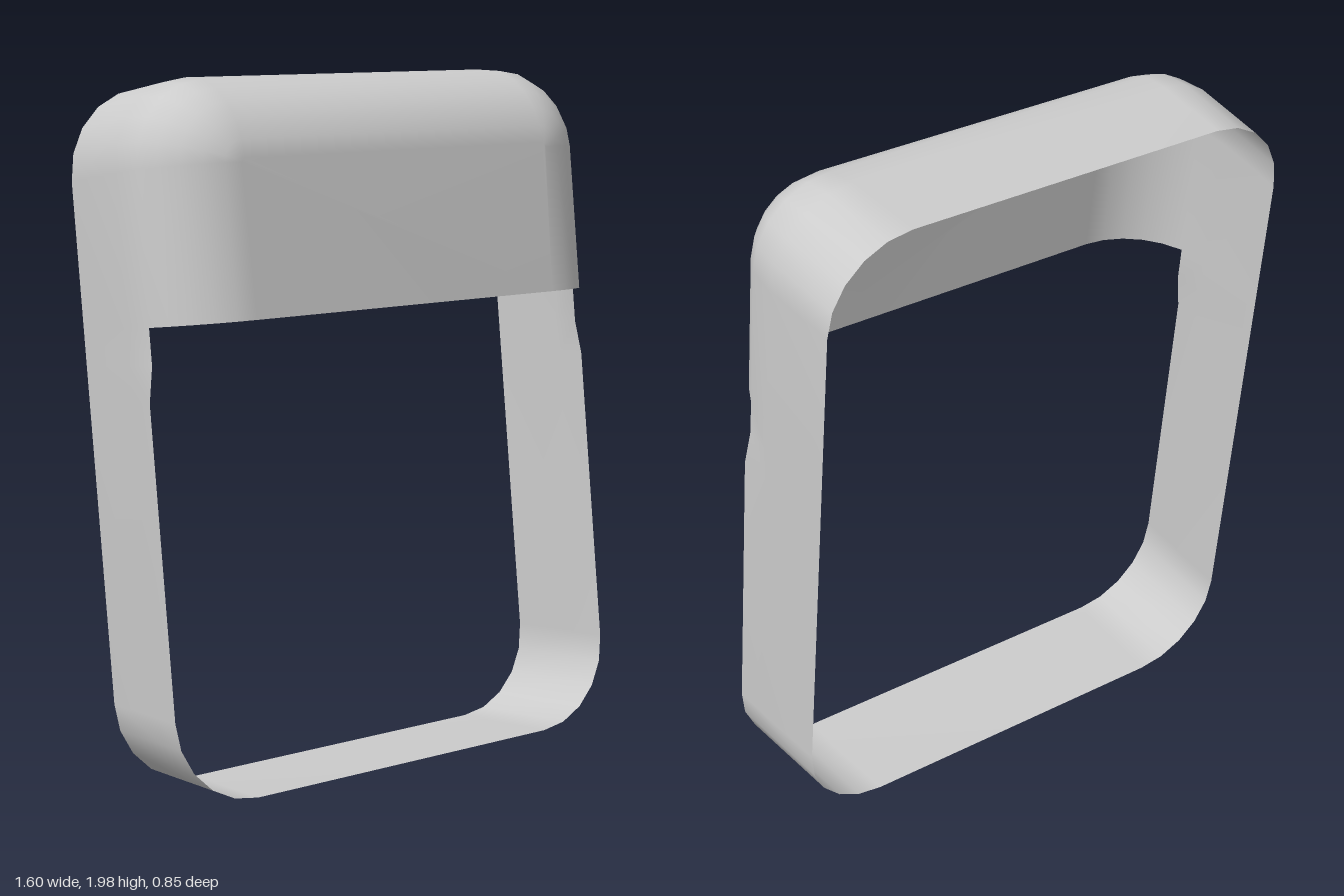
import * as THREE from 'three';

const DEPTH = 0.345;      // depth of the open band
const RADIUS = 0.25;      // corner radius
const CUT = 1.302;        // lower edge of the hood
const SEG = 5;            // segments per rounded corner
const HOOD_COUNT = 2 * (SEG + 1) + 2; // loop points that belong to the hood

// Inset of the hood's rounded front edge at depth z
const edgeInset = (z) => {
  const t = Math.min(1, Math.max(0, (z - 0.25) / 0.265));
  return RADIUS * (1 - Math.sqrt(1 - t * t));
};

// One rounded-rectangle loop, counter-clockwise, starting at the right cut
function ring(z) {
  const draft = Math.min(1, z / DEPTH);
  const inset = edgeInset(z);
  const w = 0.752 + 0.023 * draft;
  const top = 1.96 + 0.012 * draft;
  const bottom = -0.012 * draft;
  const pts = [];
  const corner = (sx, cy, start, r) => {
    for (let i = 0; i <= SEG; i++) {
      const a = start + (i / SEG) * Math.PI / 2;
      pts.push([sx * (w - RADIUS) + r * Math.cos(a), cy + r * Math.sin(a), z]);
    }
  };
  const r = Math.max(0.01, RADIUS - inset);
  pts.push([w - inset, CUT, z]);
  corner(1, top - RADIUS, 0, r);
  corner(-1, top - RADIUS, Math.PI / 2, r);
  pts.push([-w + inset, CUT, z], [-w + inset, 1.2, z], [-w, 1.1, z]);
  corner(-1, bottom + RADIUS, Math.PI, RADIUS);
  corner(1, bottom + RADIUS, 1.5 * Math.PI, RADIUS);
  pts.push([w, 1.1, z], [w - inset, 1.2, z]);
  return pts;
}

export function createModel() {
  const depths = [0, 0.25, DEPTH];
  for (let i = 1; i <= 5; i++) {
    const a0 = Math.asin((DEPTH - 0.25) / 0.265);
    depths.push(0.25 + 0.265 * Math.sin(a0 + (Math.PI / 2 - a0) * i / 5));
  }
  const rings = depths.map(ring);
  const n = rings[0].length;
  const frameIndex = [];
  const hoodIndex = [];

  // Band: full loops; hood: only the upper part of each loop
  for (let k = 0; k < rings.length - 1; k++) {
    const isHood = k >= 2;
    const count = isHood ? HOOD_COUNT - 1 : n;
    for (let i = 0; i < count; i++) {
      const j = (i + 1) % n;
      const a = k * n + i, b = k * n + j;
      (isHood ? hoodIndex : frameIndex).push(a, b, b + n, a, b + n, a + n);
    }
  }
  // Flat front of the hood
  const last = (rings.length - 1) * n;
  for (let i = 1; i < HOOD_COUNT - 1; i++) hoodIndex.push(last, last + i, last + i + 1);

  // Shared normals keep the shading continuous between band and hood
  const whole = new THREE.BufferGeometry();
  whole.setAttribute('position', new THREE.Float32BufferAttribute(rings.flat(2), 3));
  whole.setIndex([...frameIndex, ...hoodIndex]);
  whole.computeVertexNormals();

  const material = new THREE.MeshStandardMaterial({ color: 0xcccccc, side: THREE.DoubleSide });
  const shell = new THREE.Group();
  shell.name = 'tiltedShell';
  const addPart = (name, index) => {
    const geometry = new THREE.BufferGeometry();
    const used = [...new Set(index)];
    const remap = new Map(used.map((v, i) => [v, i]));
    for (const key of ['position', 'normal']) {
      const src = whole.attributes[key];
      const data = used.flatMap((v) => [src.getX(v), src.getY(v), src.getZ(v)]);
      geometry.setAttribute(key, new THREE.Float32BufferAttribute(data, 3));
    }
    geometry.setIndex(index.map((v) => remap.get(v)));
    const mesh = new THREE.Mesh(geometry, material);
    mesh.name = name;
    shell.add(mesh);
  };
  addPart('frameBand', frameIndex);
  addPart('frontHood', hoodIndex);

  // Lean back, turn, then stand on the ground and centre
  shell.rotation.set(THREE.MathUtils.degToRad(-7), THREE.MathUtils.degToRad(-12.3), 0, 'YXZ');
  const group = new THREE.Group();
  group.name = 'hoodedFrame';
  group.add(shell);
  group.updateMatrixWorld(true);
  const box = new THREE.Box3().setFromObject(group, true);
  const c = box.getCenter(new THREE.Vector3());
  shell.position.set(-c.x, -box.min.y, -c.z);
  return group;
}
